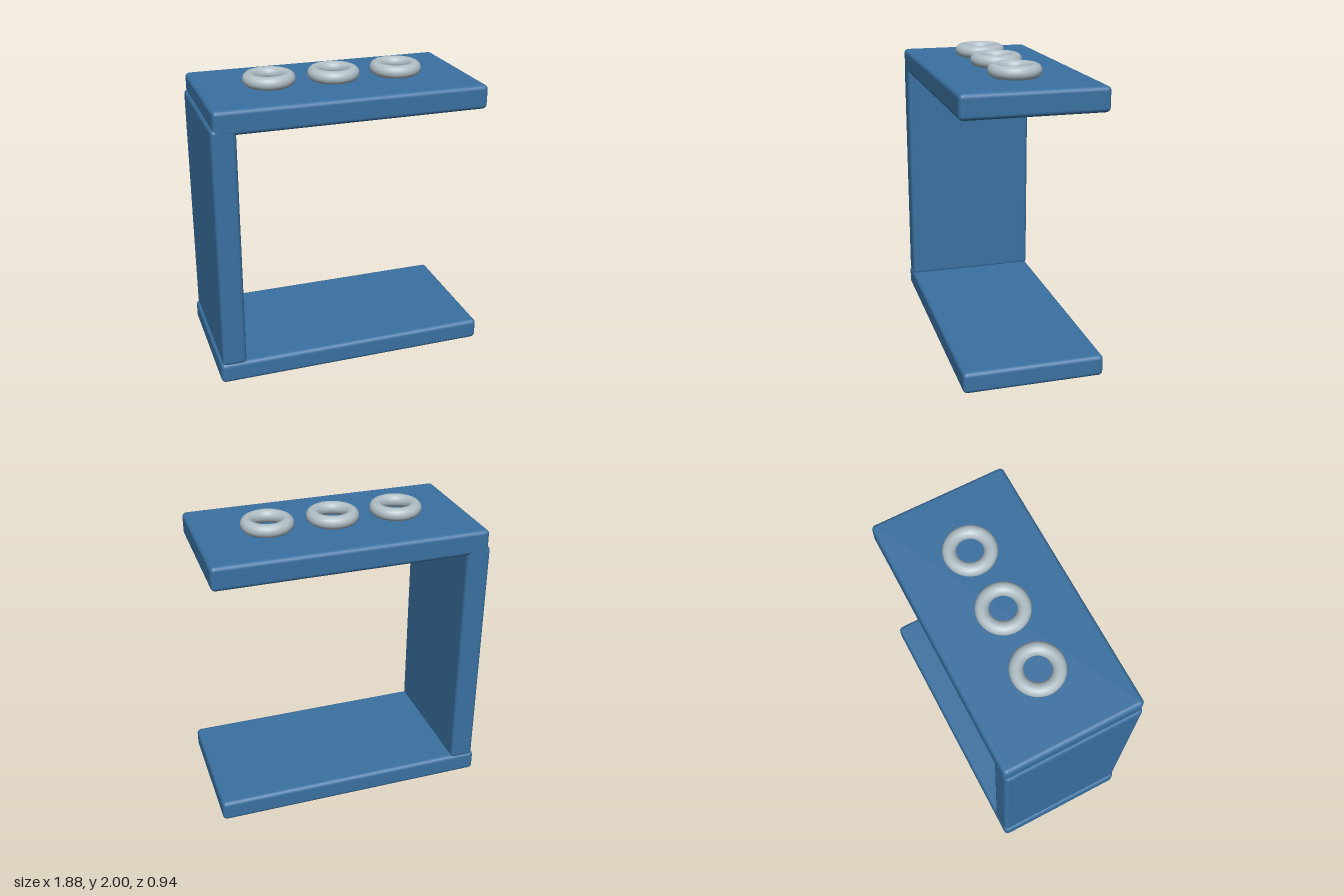
import * as THREE from 'three';
import { RoundedBoxGeometry } from 'three/addons/geometries/RoundedBoxGeometry.js';

export function createModel() {
  const model = new THREE.Group();
  model.name = 'cShapedStand';
  const blue = new THREE.MeshStandardMaterial({ color: 0x3a71a1 });
  const silver = new THREE.MeshStandardMaterial({ color: 0xb0bec5 });

  // Rounded slab given by its x and y extents and its depth
  const slab = (name, x0, x1, y0, y1, depth) => {
    const mesh = new THREE.Mesh(new RoundedBoxGeometry(x1 - x0, y1 - y0, depth, 4, 0.03), blue);
    mesh.name = name;
    mesh.position.set((x0 + x1) / 2, (y0 + y1) / 2, 0);
    model.add(mesh);
  };
  slab('base', -0.942, 0.942, 0, 0.145, 0.942);
  slab('sideWall', -0.927, -0.765, 0.13, 1.8, 0.94);
  slab('topShelf', -0.911, 0.911, 1.753, 1.915, 0.942);

  // Row of rings lying on the shelf
  const ringGeometry = new THREE.TorusGeometry(0.13, 0.044, 20, 48).rotateX(-Math.PI / 2);
  for (const [i, x] of [-0.44, 0, 0.44].entries()) {
    const ring = new THREE.Mesh(ringGeometry, silver);
    ring.name = `ring${i + 1}`;
    ring.position.set(x, 1.956, 0);
    model.add(ring);
  }
  return model;
}
